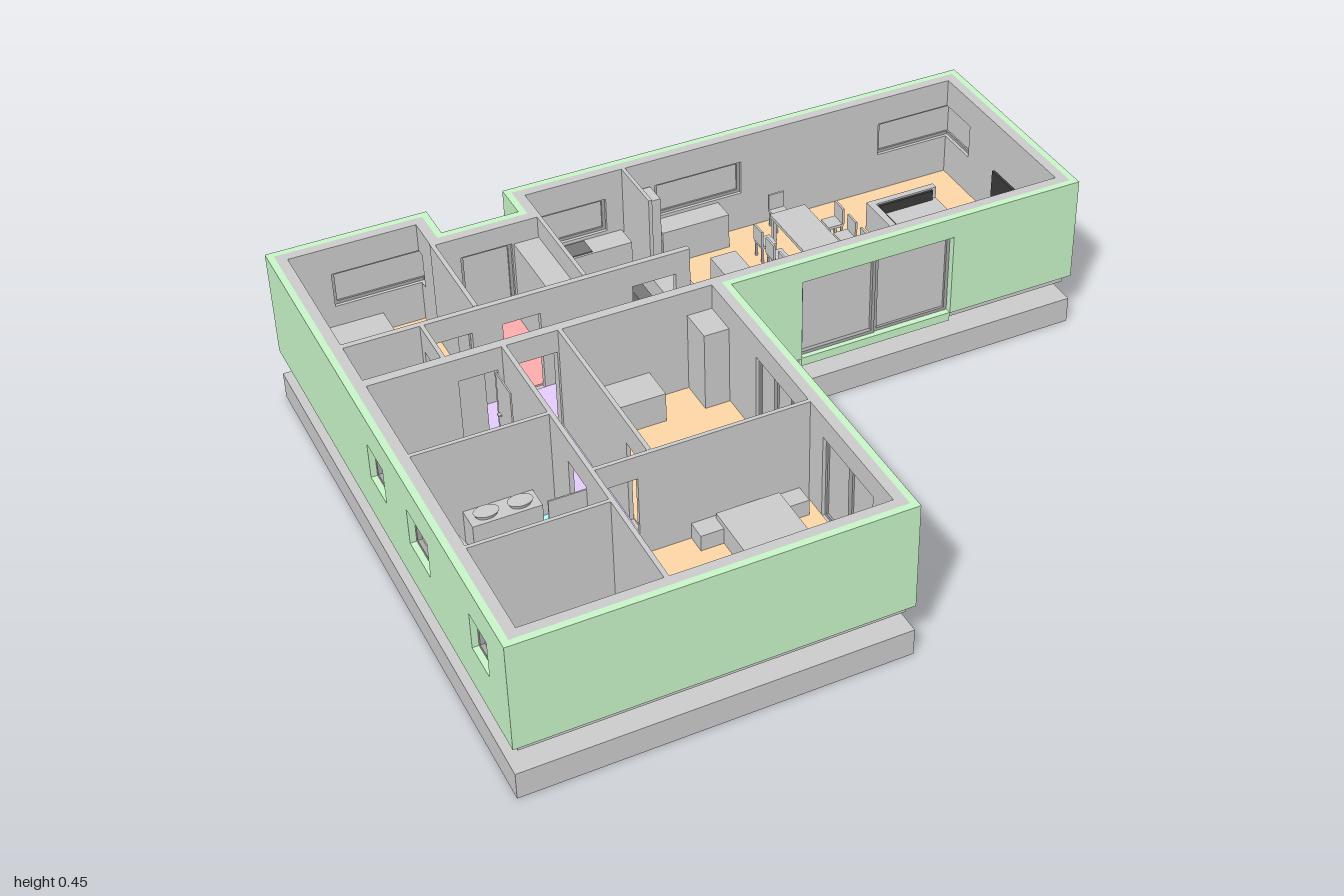
import * as THREE from 'three';

const GREY = 0xcccccc, GREEN = 0xc8f5c8, FRAME = 0xa8a8a8, DARK = 0x777777, BLACK = 0x3a3a3a;
const TAN = 0xfdd6a5, LILAC = 0xe5ccff, CYAN = 0xaaffff;
const BASE = 0.15, FLOOR = 0.155, TOP = 0.45;
const mats = {};
const mat = c => (mats[c] ??= new THREE.MeshStandardMaterial({ color: c }));

// L-shaped plan with an entrance recess at the back, as [x, z]
const PLAN = [[-1, -0.79], [-0.57, -0.79], [-0.57, -0.682], [-0.36, -0.682], [-0.36, -0.79],
  [1, -0.79], [1, -0.147], [-0.014, -0.147], [-0.014, 0.79], [-1, 0.79]];

// Openings per plan edge: [from, to, bottom, top, framed panels]; 9 runs round the corner
const win = (a, b, n = 1) => [a, b, 0.27, 0.37, n];
const door = (a, b, n = 1) => [a, b, BASE, 0.39, n];
const OPENINGS = {
  0: [win(-0.85, 9)], 1: [win(-9, -0.72)], 2: [door(-0.54, -0.4)], 3: [win(-9, -0.72)],
  4: [win(-9, -0.09), win(0.054, 0.31), win(0.735, 9)], 5: [win(-9, -0.62)],
  6: [door(0.185, 0.625, 2)],
  7: [door(0.074, 0.25, 2), door(0.25, 0.316, 0), door(0.418, 0.656, 2)],
  9: [win(-0.06, 0.045), win(0.2, 0.33), win(0.58, 0.68)],
};

// Inward offset of the right-angled plan
function inset(d) {
  const n = PLAN.length;
  const normal = i => {
    const a = PLAN[i % n], b = PLAN[(i + 1) % n];
    return [-Math.sign(b[1] - a[1]), Math.sign(b[0] - a[0])];
  };
  return PLAN.map((p, i) => {
    const u = normal(i + n - 1), v = normal(i);
    return [p[0] + d * (u[0] + v[0]), p[1] + d * (u[1] + v[1])];
  });
}

// Plan polygon, with optional holes wound the other way, raised from y0 to y1
function prism(parent, name, pts, y0, y1, color, holes = []) {
  const v = p => new THREE.Vector2(p[0], -p[1]);
  const shape = new THREE.Shape(pts.map(v));
  for (const h of holes) shape.holes.push(new THREE.Path(h.map(v)));
  const geo = new THREE.ExtrudeGeometry(shape, { depth: y1 - y0, bevelEnabled: false });
  geo.rotateX(-Math.PI / 2).translate(0, y0, 0);
  const m = new THREE.Mesh(geo, mat(color));
  m.name = name;
  parent.add(m);
}
const rectHole = (x0, x1, z0, z1) => [[x0, z0], [x0, z1], [x1, z1], [x1, z0]];

// Box given by its x, z and y ranges
function box(parent, name, x0, x1, z0, z1, y0, y1, color = GREY) {
  const m = new THREE.Mesh(new THREE.BoxGeometry(x1 - x0, y1 - y0, z1 - z0), mat(color));
  m.position.set((x0 + x1) / 2, (y0 + y1) / 2, (z0 + z1) / 2);
  m.name = name;
  parent.add(m);
}

// Part of an outer wall between depths d0 and d1, mitred at plan corners
function piece(parent, name, edge, d0, d1, s0, s1, y0, y1, color) {
  const ends = d => { const p = inset(d); return [p[edge], p[(edge + 1) % p.length]]; };
  const axis = PLAN[edge][0] === PLAN[(edge + 1) % PLAN.length][0] ? 1 : 0;
  const at = ([a, b], s) => {
    const p = [...a];
    p[axis] = THREE.MathUtils.clamp(s, Math.min(a[axis], b[axis]), Math.max(a[axis], b[axis]));
    return p;
  };
  const o = ends(d0), i = ends(d1);
  const q = [at(o, s0), at(o, s1), at(i, s1), at(i, s0)];
  if (q[1][axis] - q[0][axis] < 1e-4 || q[2][axis] - q[3][axis] < 1e-4) return;
  prism(parent, name, q, y0, y1, color);
}

function outerWall(parent, edge) {
  const list = OPENINGS[edge] ?? [];
  for (const [name, d0, d1, c] of [['insulation', 0, 0.018, GREEN], ['outerWall', 0.018, 0.045, GREY]]) {
    let s = -9;
    for (const [a, b, y0, y1] of list) {
      piece(parent, name, edge, d0, d1, s, a, BASE, TOP, c);
      if (y0 > BASE) piece(parent, name, edge, d0, d1, a, b, BASE, y0, c);
      piece(parent, name, edge, d0, d1, a, b, y1, TOP, c);
      s = b;
    }
    piece(parent, name, edge, d0, d1, s, 9, BASE, TOP, c);
  }
  // glazing with frames, and a sill below each door
  const line = inset(0.016), e0 = line[edge], e1 = line[(edge + 1) % line.length];
  const k = Math.abs(e0[0] - e1[0]) < 1e-6 ? 1 : 0;
  for (const [a, b, y0, y1, n] of list) {
    const s0 = Math.max(a, Math.min(e0[k], e1[k])), s1 = Math.min(b, Math.max(e0[k], e1[k]));
    const f = 0.009, w = (s1 - s0) / n;
    piece(parent, 'glass', edge, 0.027, 0.031, s0, s1, y0, y1, GREY);
    for (let j = 0; j < n; j++) {
      const p = s0 + j * w, q = p + w, d = 0.016 + j * 0.004;
      piece(parent, 'frame', edge, d, 0.036, p, p + f, y0, y1, FRAME);
      piece(parent, 'frame', edge, d, 0.036, q - f, q, y0, y1, FRAME);
      piece(parent, 'frame', edge, d, 0.036, p + f, q - f, y0, y0 + f, FRAME);
      piece(parent, 'frame', edge, d, 0.036, p + f, q - f, y1 - f, y1, FRAME);
    }
    if (y0 === BASE) piece(parent, 'doorSill', edge, 0.002, 0.03, a, b, 0.125, BASE, GREEN);
  }
}

// Straight partition along x or z with door gaps
function partition(parent, alongX, c, t, s0, s1, gaps = []) {
  const put = (a, b, y0) => alongX
    ? box(parent, 'partition', a, b, c - t / 2, c + t / 2, y0, TOP)
    : box(parent, 'partition', c - t / 2, c + t / 2, a, b, y0, TOP);
  let s = s0;
  for (const [a, b] of gaps) { put(s, a, BASE); put(a, b, 0.385); s = b; }
  if (s1 > s) put(s, s1, BASE);
}

function chair(parent, x, z, turn) {
  const g = new THREE.Group();
  g.name = 'chair';
  box(g, 'seat', -0.023, 0.023, -0.023, 0.023, 0.044, 0.052);
  box(g, 'backrest', -0.023, 0.023, -0.025, -0.019, 0.052, 0.1);
  for (const i of [-0.019, 0.019]) for (const j of [-0.019, 0.019])
    box(g, 'leg', i - 0.003, i + 0.003, j - 0.003, j + 0.003, 0, 0.044);
  g.position.set(x, FLOOR, z);
  g.rotation.y = turn;
  parent.add(g);
}

// Oval block for bowls and basins
function oval(parent, name, x, z, rx, rz, y0, y1) {
  const m = new THREE.Mesh(new THREE.CylinderGeometry(1, 0.8, y1 - y0, 24), mat(GREY));
  m.scale.set(rx, 1, rz);
  m.position.set(x, (y0 + y1) / 2, z);
  m.name = name;
  parent.add(m);
}

export function createModel() {
  const house = new THREE.Group();
  house.name = 'house';
  const group = name => { const g = new THREE.Group(); g.name = name; house.add(g); return g; };

  // strip foundation and floor slab
  prism(house, 'foundation', PLAN, 0, 0.075, GREY, [
    rectHole(-0.03, 0.9, -0.69, -0.247), rectHole(-0.42, -0.11, -0.582, -0.247),
    [[-0.9, -0.69], [-0.9, -0.247], [-0.52, -0.247], [-0.52, -0.582], [-0.67, -0.582], [-0.67, -0.69]],
    rectHole(-0.42, -0.114, -0.147, 0.69), rectHole(-0.9, -0.52, -0.147, 0.69)]);
  prism(house, 'slab', inset(0.016), 0.126, BASE, GREY);
  prism(house, 'slabInsulation', inset(0.06), 0.1253, 0.13, GREEN);

  const walls = group('outerWalls');
  PLAN.forEach((_, i) => outerWall(walls, i));

  // room floors
  const floors = group('floors');
  for (const [x0, x1, z0, z1, c] of [
    [-0.957, -0.615, -0.748, -0.348, TAN], [-0.604, -0.326, -0.637, -0.348, 0xffabab],
    [-0.316, -0.043, -0.748, -0.348, 0xe5ac0e], [-0.043, 0.957, -0.748, -0.192, TAN],
    [-0.957, -0.76, -0.331, -0.192, CYAN], [-0.75, -0.035, -0.331, -0.192, LILAC],
    [-0.957, -0.615, -0.165, 0.113, GREY], [-0.604, -0.47, -0.165, 0.343, LILAC],
    [-0.46, -0.059, -0.165, 0.343, TAN], [-0.957, -0.615, 0.124, 0.461, CYAN],
    [-0.957, -0.615, 0.468, 0.745, 0xfcd5cc], [-0.604, -0.059, 0.354, 0.745, TAN],
  ]) box(floors, 'floor', x0, x1, z0, z1, BASE, c === LILAC ? FLOOR + 0.001 : FLOOR, c);

  // partitions
  const inner = group('partitions');
  partition(inner, true, -0.339, 0.016, -0.957, -0.04, [[-0.73, -0.63], [-0.55, -0.45], [-0.2, -0.08]]);
  partition(inner, true, -0.179, 0.026, -0.957, -0.04, [[-0.73, -0.63], [-0.6, -0.475]]);
  partition(inner, true, 0.118, 0.011, -0.957, -0.61);
  partition(inner, true, 0.464, 0.01, -0.957, -0.61);
  partition(inner, true, 0.349, 0.011, -0.61, -0.058, [[-0.6, -0.5]]);
  partition(inner, false, -0.61, 0.012, -0.645, -0.348);
  partition(inner, false, -0.321, 0.011, -0.645, -0.348);
  partition(inner, false, -0.036, 0.01, -0.748, -0.575);
  partition(inner, false, -0.755, 0.011, -0.331, -0.192, [[-0.31, -0.21]]);
  partition(inner, false, -0.61, 0.012, -0.166, 0.747, [[0.226, 0.326]]);
  partition(inner, false, -0.465, 0.011, -0.166, 0.343, [[0.226, 0.326]]);

  // inner doors standing open, with handles
  const doors = group('innerDoors');
  for (const [x0, x1, z] of [[-0.75, -0.65, -0.208], [-0.71, -0.615, 0.328], [-0.46, -0.365, 0.328]]) {
    box(doors, 'door', x0, x1, z - 0.002, z + 0.002, FLOOR, 0.38);
    box(doors, 'handle', x0 + 0.008, x0 + 0.02, z - 0.01, z + 0.01, 0.26, 0.264);
  }
  for (const [x, z0, z1] of [[-0.632, -0.434, -0.348], [-0.635, -0.165, -0.074], [-0.595, 0.356, 0.451]]) {
    box(doors, 'door', x - 0.002, x + 0.002, z0, z1, FLOOR, 0.38);
    box(doors, 'handle', x - 0.01, x + 0.01, z0 + 0.008, z0 + 0.02, 0.26, 0.264);
  }

  // box furniture: name, x range, z range, top, colour
  const f = group('furniture');
  f.position.z = 0.006;
  for (const [name, x0, x1, z0, z1, y, c] of [
    ['bed', -0.947, -0.727, -0.75, -0.556, 0.21], ['entryWardrobe', -0.396, -0.327, -0.64, -0.354, 0.39],
    ['kitchenCounter', -0.3, -0.048, -0.754, -0.684, 0.26], ['cooktop', -0.24, -0.16, -0.745, -0.69, 0.263, DARK],
    ['sideCounter', -0.314, -0.246, -0.61, -0.358, 0.26], ['sink', -0.285, -0.25, -0.595, -0.48, 0.263, DARK],
    ['island', -0.07, 0.016, -0.572, -0.374, 0.26], ['bench', -0.117, -0.08, -0.572, -0.42, 0.22, DARK],
    ['tallCabinet', -0.027, 0.037, -0.745, -0.68, 0.375], ['sideboard', 0.043, 0.24, -0.754, -0.684, 0.26],
    ['lowTable', 0.118, 0.193, -0.55, -0.396, 0.24],
    ['sofaSeat', 0.615, 0.824, -0.594, -0.49, 0.205], ['sofaSeat', 0.615, 0.71, -0.49, -0.294, 0.205],
    ['sofaBack', 0.615, 0.635, -0.594, -0.294, 0.24], ['sofaBack', 0.635, 0.824, -0.594, -0.575, 0.24],
    ['sofaTrim', 0.635, 0.641, -0.575, -0.31, 0.235, BLACK], ['sofaTrim', 0.641, 0.81, -0.575, -0.568, 0.235, BLACK],
    ['mediaCabinet', 0.9, 0.957, -0.497, -0.235, 0.2, DARK], ['screen', 0.935, 0.943, -0.47, -0.26, 0.32, BLACK],
    ['desk', -0.459, -0.235, -0.171, -0.075, 0.24], ['desk', -0.459, -0.405, -0.075, -0.02, 0.24],
    ['cabinet', -0.128, -0.06, -0.171, -0.075, 0.38], ['wardrobe', -0.326, -0.06, 0.267, 0.337, 0.38],
    ['headboard', -0.37, -0.085, 0.349, 0.4, 0.2], ['bed', -0.31, -0.144, 0.358, 0.578, 0.215],
    ['vanity', -0.845, -0.67, 0.119, 0.18, 0.245], ['cistern', -0.797, -0.733, 0.42, 0.452, 0.26],
    ['washstand', -0.855, -0.805, -0.245, -0.198, 0.245],
  ]) box(f, name, x0, x1, z0, z1, FLOOR, y, c);

  // dining set
  box(f, 'tableTop', 0.353, 0.46, -0.663, -0.39, 0.23, 0.24);
  for (const x of [0.362, 0.451]) for (const z of [-0.654, -0.399])
    box(f, 'tableLeg', x - 0.005, x + 0.005, z - 0.005, z + 0.005, FLOOR, 0.23);
  for (const z of [-0.597, -0.525, -0.453]) {
    chair(f, 0.307, z, Math.PI / 2);
    chair(f, 0.511, z, -Math.PI / 2);
  }
  chair(f, 0.406, -0.706, 0);
  chair(f, 0.406, -0.342, Math.PI);

  // sanitary ware
  for (const [x, z] of [[-0.904, -0.24], [-0.67, 0.41]]) {
    oval(f, 'toiletBowl', x, z, 0.018, 0.025, FLOOR, 0.2);
    box(f, 'toiletTank', x - 0.018, x + 0.018, z + 0.02, z + 0.035, FLOOR, 0.24);
  }
  for (const x of [-0.8, -0.715]) oval(f, 'basin', x, 0.152, 0.032, 0.022, 0.244, 0.256);
  const tub = new THREE.Shape().absellipse(0, 0, 0.042, 0.093, 0, Math.PI * 2);
  tub.holes.push(new THREE.Path().absellipse(0, 0, 0.034, 0.083, 0, Math.PI * 2));
  const rim = new THREE.Mesh(new THREE.ExtrudeGeometry(tub, { depth: 0.065, bevelEnabled: false }), mat(GREY));
  rim.rotation.x = -Math.PI / 2;
  rim.position.set(-0.91, FLOOR, 0.213);
  rim.name = 'bathtub';
  f.add(rim);
  oval(f, 'bathtubBottom', -0.91, 0.213, 0.036, 0.085, FLOOR, 0.17);
  return house;
}
